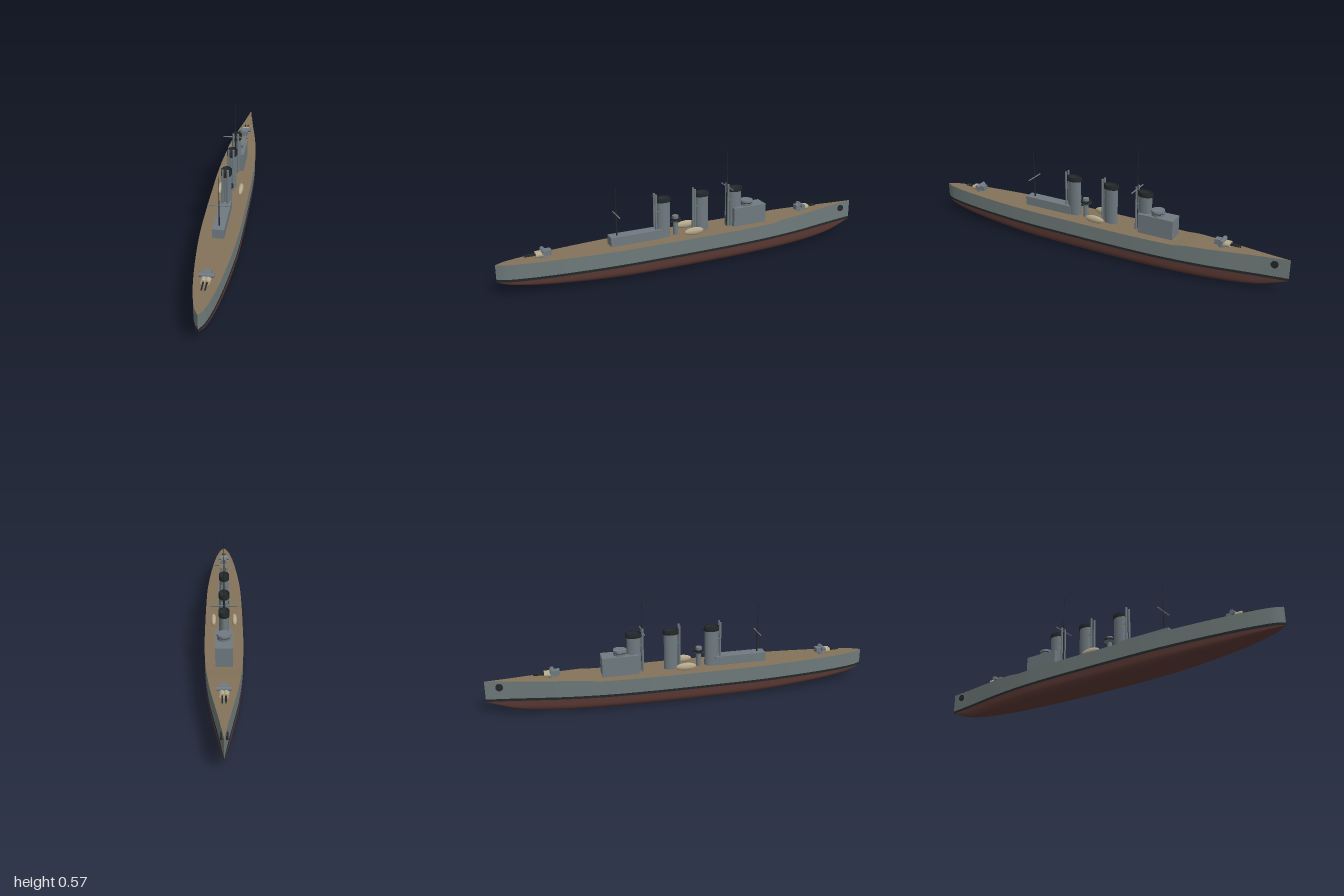
import * as THREE from 'three';

const mat = (color) => new THREE.MeshStandardMaterial({ color });
const M = {
  hull: mat(0x6f7a7a), grey: mat(0x6f7a80), dark: mat(0x23282a),
  red: mat(0x5a3833), deck: mat(0x84735a), boat: mat(0xb5a98c),
};

function add(parent, name, geo, material, x = 0, y = 0, z = 0) {
  const m = new THREE.Mesh(geo, material);
  m.name = name;
  m.position.set(x, y, z);
  parent.add(m);
  return m;
}
const cyl = (r0, r1, h, n = 24, open = false) => new THREE.CylinderGeometry(r1, r0, h, n, 1, open);
const box = (w, h, d) => new THREE.BoxGeometry(w, h, d);

// Surface through rows of points, rows running bow to stern
function loft(rows) {
  const pos = [], idx = [], n = rows[0].length;
  rows.forEach((r) => r.forEach((p) => pos.push(...p)));
  for (let i = 0; i < rows.length - 1; i++) {
    for (let j = 0; j < n - 1; j++) {
      const a = i * n + j, b = a + n;
      idx.push(a, b, a + 1, b, b + 1, a + 1);
    }
  }
  const g = new THREE.BufferGeometry();
  g.setAttribute('position', new THREE.Float32BufferAttribute(pos, 3));
  g.setIndex(idx);
  g.computeVertexNormals();
  return g;
}

const deckY = (z) => 0.158 + 0.009 * (1 - THREE.MathUtils.smoothstep(z, -0.53, -0.43))
  + 0.013 * Math.max(0, (-0.5 - z) / 0.5);

function buildHull(g) {
  // Stations: half width, keel height, z
  const path = new THREE.CatmullRomCurve3([
    [0, 0.07, -1], [0.009, 0.048, -0.94], [0.02, 0.026, -0.87], [0.036, 0.012, -0.78],
    [0.067, 0.003, -0.6], [0.088, 0.001, -0.4], [0.096, 0, -0.2], [0.097, 0, 0],
    [0.096, 0.001, 0.2], [0.092, 0.005, 0.4], [0.078, 0.016, 0.6], [0.055, 0.032, 0.8],
    [0.037, 0.045, 0.9], [0.021, 0.057, 0.96], [0, 0.07, 1],
  ].map((p) => new THREE.Vector3(...p)));
  const st = path.getPoints(112).map((p) => ({ w: Math.max(0, p.x), b: Math.max(0, p.y), z: p.z }));

  for (const s of [1, -1]) {
    // Vertical plating and waterline band on each side
    const strip = (lo, hi) => loft(st.map(({ w, z }) => {
      const r = [[s * w, hi(z), z], [s * w, lo, z]];
      return s > 0 ? r : r.reverse();
    }));
    add(g, 'hullSide', strip(0.083, deckY), M.hull);
    add(g, 'waterlineBand', strip(0.07, () => 0.083), M.dark);
  }
  // Rounded underwater body
  const K = 28;
  add(g, 'hullBottom', loft(st.map(({ w, b, z }) => Array.from({ length: K + 1 }, (_, k) => {
    const t = (k / K) * Math.PI, c = Math.cos(t);
    return [w * Math.sign(c) * Math.sqrt(Math.abs(c)),
      0.07 - (0.07 - b) * Math.sqrt(Math.max(0, Math.sin(t))), z];
  }))), M.red);
  add(g, 'deck', loft(st.map(({ w, z }) => [[-w, deckY(z), z], [w, deckY(z), z]])), M.deck);
  const hawse = add(g, 'anchorPorts', cyl(0.018, 0.018, 0.036), M.dark, 0, 0.147, -0.93);
  hawse.rotation.z = Math.PI / 2;
}

function funnel(z) {
  const f = new THREE.Group();
  f.name = 'funnel';
  const part = (name, geo, m, y) => { add(f, name, geo, m, 0, y, 0).scale.z = 1.5; };
  part('funnelBody', cyl(0.024, 0.024, 0.195, 32), M.grey, 0.25);
  // Dark rim, open at the top
  const rim = [[0.024, 0], [0.027, 0], [0.027, 0.022], [0.022, 0.022], [0.022, 0.008], [0, 0.008]];
  part('funnelCap', new THREE.LatheGeometry(rim.map((p) => new THREE.Vector2(...p)), 32), M.dark, 0.345);
  for (const s of [-1, 1]) {
    add(f, 'steamPipe', cyl(0.0055, 0.0055, 0.235, 12), M.grey, s * 0.0125, 0.272, 0.044);
    add(f, 'pipeBracket', box(0.004, 0.004, 0.02), M.grey, s * 0.0125, 0.3, 0.034);
  }
  f.position.z = z;
  return f;
}

// Twin gun mount firing towards +z
function gunMount(z, turn) {
  const t = new THREE.Group();
  t.name = 'gunMount';
  add(t, 'mountBase', cyl(0.021, 0.018, 0.014), M.grey, 0, 0.006, 0);
  add(t, 'mountHouse', box(0.034, 0.026, 0.05), M.grey, 0, 0.023, -0.012);
  add(t, 'trunnion', cyl(0.011, 0.011, 0.066, 20), M.grey, 0, 0.031, 0).rotation.z = Math.PI / 2;
  for (const s of [-1, 1]) {
    add(t, 'gunSleeve', cyl(0.014, 0.013, 0.036, 20), M.boat, s * 0.009, 0.019, 0.022).rotation.x = Math.PI / 2;
    add(t, 'gunBarrel', cyl(0.0045, 0.003, 0.07, 12), M.dark, s * 0.008, 0.02, 0.058).rotation.x = Math.PI / 2;
  }
  t.position.set(0, deckY(z), z);
  t.rotation.y = turn;
  return t;
}

// Mast in narrowing lengths with one cross yard; steps: [radius, top height]
function mast(z, base, steps, yardY, yardHalf) {
  const m = new THREE.Group();
  m.name = 'mast';
  let y = base;
  for (const [r, top] of steps) {
    add(m, 'mastSection', cyl(r, r * 0.8, top - y, 12), M.dark, 0, (y + top) / 2, 0);
    y = top;
  }
  add(m, 'yard', cyl(0.0032, 0.0032, yardHalf * 2, 10), M.grey, 0, yardY, 0).rotation.z = Math.PI / 2;
  m.position.z = z;
  return m;
}

export function createModel() {
  const g = new THREE.Group();
  g.name = 'warship';
  buildHull(g);

  // Bridge block with round conning tower
  add(g, 'bridgeHouse', box(0.082, 0.105, 0.188), M.grey, 0, 0.206, -0.33);
  add(g, 'conningTower', cyl(0.033, 0.033, 0.012, 32), M.grey, 0, 0.263, -0.328);
  add(g, 'conningWindows', cyl(0.031, 0.031, 0.008, 32), M.dark, 0, 0.271, -0.328);
  add(g, 'conningRoof', cyl(0.035, 0.034, 0.011, 32), M.grey, 0, 0.28, -0.328);

  // After deckhouse
  add(g, 'afterHouse', box(0.058, 0.05, 0.275), M.grey, 0, 0.18, 0.302);

  for (const z of [-0.257, -0.065, 0.15]) g.add(funnel(z));

  // Searchlight post
  add(g, 'searchlightPost', cyl(0.014, 0.013, 0.075), M.grey, 0, 0.192, 0.083);
  add(g, 'searchlightPlatform', cyl(0.02, 0.028, 0.008), M.grey, 0, 0.231, 0.083);
  add(g, 'searchlightRail', cyl(0.027, 0.027, 0.012), M.dark, 0, 0.24, 0.083);
  add(g, 'searchlight', cyl(0.016, 0.016, 0.014), M.grey, 0, 0.253, 0.083);

  // Ship's boats
  for (const s of [-1, 1]) {
    add(g, 'boat', new THREE.SphereGeometry(1, 24, 16), M.boat, s * 0.054, 0.18, 0.003)
      .scale.set(0.0135, 0.02, 0.053);
  }

  g.add(gunMount(0.77, 0), gunMount(-0.67, Math.PI));
  g.add(mast(-0.212, 0.157, [[0.005, 0.41], [0.003, 0.443], [0.0015, 0.575]], 0.373, 0.065));
  g.add(mast(0.4, 0.2, [[0.0035, 0.34], [0.0015, 0.46]], 0.313, 0.053));
  return g;
}
